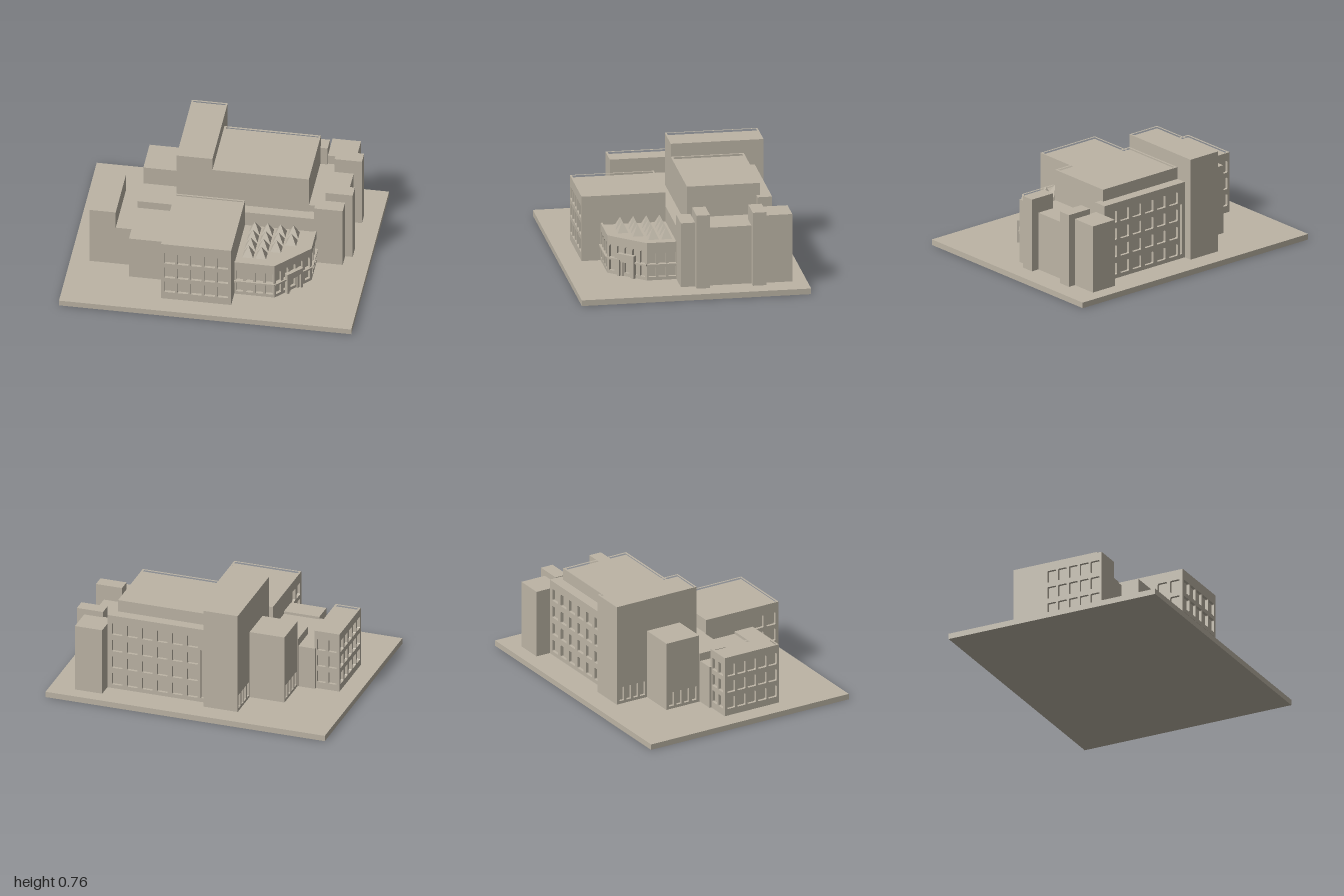
import * as THREE from 'three';

const stone = new THREE.MeshStandardMaterial({ color: 0xbcb4a5 });
stone.name = 'warm stone';

const BASE = 0.04; // top of the ground slab
const D = 0.02;    // window recess depth

function add(parent, name, geometry) {
  const mesh = new THREE.Mesh(geometry, stone);
  mesh.name = name;
  parent.add(mesh);
  return mesh;
}

function box(parent, name, x0, x1, y0, y1, z0, z1) {
  const m = add(parent, name, new THREE.BoxGeometry(x1 - x0, y1 - y0, z1 - z0));
  m.position.set((x0 + x1) / 2, (y0 + y1) / 2, (z0 + z1) / 2);
  return m;
}

// Window opening with rounded bottom and top corners
function opening(x, y, w, h, rBottom, rTop) {
  const p = new THREE.Path(), l = x - w / 2, r = x + w / 2, b = y - h / 2, t = y + h / 2;
  p.moveTo(l, b + rBottom);
  p.lineTo(l, t - rTop);
  p.quadraticCurveTo(l, t, l + rTop, t);
  p.lineTo(r - rTop, t);
  p.quadraticCurveTo(r, t, r, t - rTop);
  p.lineTo(r, b + rBottom);
  p.quadraticCurveTo(r, b, r - rBottom, b);
  p.lineTo(l + rBottom, b);
  p.quadraticCurveTo(l, b, l, b + rBottom);
  return p;
}

function grid(us, ys, w, h, rBottom = 0.008, rTop = rBottom) {
  return ys.flatMap(y => us.map(u => opening(u, y, w, h, rBottom, rTop)));
}

function spread(n, from, to) {
  return Array.from({ length: n }, (_, i) => from + (to - from) * i / (n - 1));
}

// Pierced wall from a to b ([x, z], left to right seen from outside)
function wall(parent, name, a, b, y0, y1, holes, depth = D, outset = 0) {
  const dx = b[0] - a[0], dz = b[1] - a[1], L = Math.hypot(dx, dz);
  const s = new THREE.Shape([[0, y0], [L, y0], [L, y1], [0, y1]].map(p => new THREE.Vector2(...p)));
  s.holes.push(...holes);
  const m = add(parent, name, new THREE.ExtrudeGeometry(s, { depth, bevelEnabled: false, curveSegments: 4 }));
  const shift = outset - depth;
  m.position.set(a[0] - dz / L * shift, 0, a[1] + dx / L * shift);
  m.rotation.y = Math.atan2(-dz, dx);
  return m;
}

// Vertical prism over a plan outline, with an optional inner outline
function prism(parent, name, outer, inner, y0, y1) {
  const v = pts => pts.map(([x, z]) => new THREE.Vector2(x, -z));
  const s = new THREE.Shape(v(outer));
  if (inner) s.holes.push(new THREE.Path(v(inner)));
  const m = add(parent, name, new THREE.ExtrudeGeometry(s, { depth: y1 - y0, bevelEnabled: false }));
  m.rotation.x = -Math.PI / 2;
  m.position.y = y0;
  return m;
}

// Building block; windowed sides get a recessed core and a pierced wall
function block(parent, name, [x0, x1, z0, z1], h, { rim = 0, front, back, west } = {}) {
  const g = new THREE.Group();
  g.name = name;
  parent.add(g);
  const top = h - (rim ? 0.018 : 0);
  box(g, 'core', x0 + (west ? D : 0), x1, BASE, top, z0 + (back ? D : 0), z1 - (front ? D : 0));
  if (front) wall(g, 'frontWall', [x0, z1], [x1, z1], BASE, top, front);
  if (back) wall(g, 'backWall', [x1, z0], [x0, z0], BASE, top, back);
  if (west) wall(g, 'westWall', [x0, z0], [x0, z1], BASE, top, west);
  if (rim) {
    const rect = i => [[x0 + i, z0 + i], [x1 - i, z0 + i], [x1 - i, z1 - i], [x0 + i, z1 - i]];
    prism(g, 'parapet', rect(0), rect(rim), top, h);
  }
  return g;
}

function atrium(parent) {
  const g = new THREE.Group();
  g.name = 'atrium';
  parent.add(g);
  const H = 0.305, top = 0.29;
  const plan = i => [[0.155, 0.07], [0.645 - i, 0.07], [0.645 - i, 0.28 - i * 0.4],
    [0.43 - i * 0.44, 0.515 - i], [0.155, 0.515 - i]];
  prism(g, 'core', plan(D), null, BASE, top);
  prism(g, 'parapet', plan(0), plan(0.013), top, H);
  const [, e0, e1, f0, f1] = plan(0);
  const walls = [[f1, f0, 4], [f0, e1, 5], [e1, e0, 3]];
  for (const [a, b, n] of walls) {
    const L = Math.hypot(b[0] - a[0], b[1] - a[1]);
    const us = spread(n, 0.036, L - 0.036);
    const w = n === 5 ? 0.042 : 0.05;
    wall(g, 'arcadeWall', a, b, BASE, top,
      [...grid(us, [0.103], w, 0.08, 0.002, 0.015), ...grid(us, [0.2], w, 0.09, 0.002, 0.018)]);
    wall(g, 'balconyBand', a, b, 0.143, 0.155, [], 0.014, 0.012);
  }
  // Entrance portal in the middle of the angled wall
  const mix = t => [f0[0] + (e1[0] - f0[0]) * t, f0[1] + (e1[1] - f0[1]) * t];
  wall(g, 'portal', mix(0.29), mix(0.71), 0.03, 0.2, [opening(0.067, 0.095, 0.1, 0.125, 0, 0)], 0.03, 0.025);
  wall(g, 'doorFrame', mix(0.36), mix(0.64), 0.03, 0.155, [opening(0.0445, 0.085, 0.062, 0.105, 0, 0)], 0.015, 0.012);

  // Pyramid skylights
  [4, 4, 3, 2].forEach((n, row) => {
    for (let i = 0; i < n; i++) {
      const geo = new THREE.ConeGeometry(0.037 * Math.SQRT2, 0.077, 4, 1).toNonIndexed();
      geo.rotateY(Math.PI / 4);
      geo.computeVertexNormals();
      add(g, 'skylight', geo).position.set(0.233 + i * 0.088, top + 0.0385, 0.125 + row * 0.09);
    }
  });
}

export function createModel() {
  const model = new THREE.Group();
  model.name = 'civicBuilding';

  box(model, 'groundSlab', -1, 1, 0, BASE, -0.785, 0.785);

  // Front office wing
  block(model, 'frontWing', [-0.325, 0.155, 0.07, 0.645], 0.497, {
    rim: 0.012,
    front: grid(spread(5, 0.058, 0.422), [0.14, 0.26, 0.38], 0.076, 0.09),
    west: grid([0.42, 0.515], [0.14, 0.26, 0.38], 0.07, 0.09),
  });

  // Main hall, tall tower and windowed rear slab
  block(model, 'mainHall', [-0.08, 0.58, -0.505, -0.005], 0.67, { rim: 0.014 });
  block(model, 'tallTower', [-0.325, -0.08, -0.64, -0.005], 0.762, {
    rim: 0.012,
    west: grid(spread(4, 0.04, 0.205), [0.11], 0.038, 0.1, 0.002),
  });
  block(model, 'rearSlab', [-0.08, 0.63, -0.58, -0.48], 0.585, {
    back: [...grid(spread(6, 0.07, 0.61), [0.11, 0.235, 0.36, 0.485], 0.076, 0.085),
      opening(0.678, 0.25, 0.018, 0.36, 0, 0)],
  });
  block(model, 'frontCorridor', [-0.325, 0.64, -0.02, 0.07], 0.397);

  // East service blocks
  block(model, 'eastBlock', [0.57, 0.82, -0.495, -0.01], 0.45);
  block(model, 'northEastTower', [0.63, 0.825, -0.685, -0.49], 0.518);
  block(model, 'southEastTower', [0.63, 0.825, -0.02, 0.078], 0.493);
  for (const z of [-0.498, -0.113]) block(model, 'eastShaft', [0.69, 0.877, z, z + 0.092], 0.558);

  // West wing
  block(model, 'westTower', [-0.87, -0.69, -0.12, 0.31], 0.47, {
    rim: 0.014,
    west: grid(spread(5, 0.05, 0.38), [0.13, 0.25, 0.37], 0.066, 0.085),
    back: grid([0.05, 0.13], [0.13, 0.25, 0.37], 0.06, 0.085),
  });
  block(model, 'westLink', [-0.7, -0.57, -0.135, 0.31], 0.342);
  block(model, 'westRearBlock', [-0.575, -0.325, -0.4, -0.14], 0.53, {
    west: grid(spread(4, 0.04, 0.22), [0.11], 0.038, 0.1, 0.002),
  });
  block(model, 'westMiddleBlock', [-0.58, -0.325, -0.14, 0.065], 0.397);
  block(model, 'westCourt', [-0.58, -0.325, 0.065, 0.3], 0.342);
  block(model, 'westFrontBlock', [-0.578, -0.325, 0.295, 0.44], 0.36);

  atrium(model);
  return model;
}
